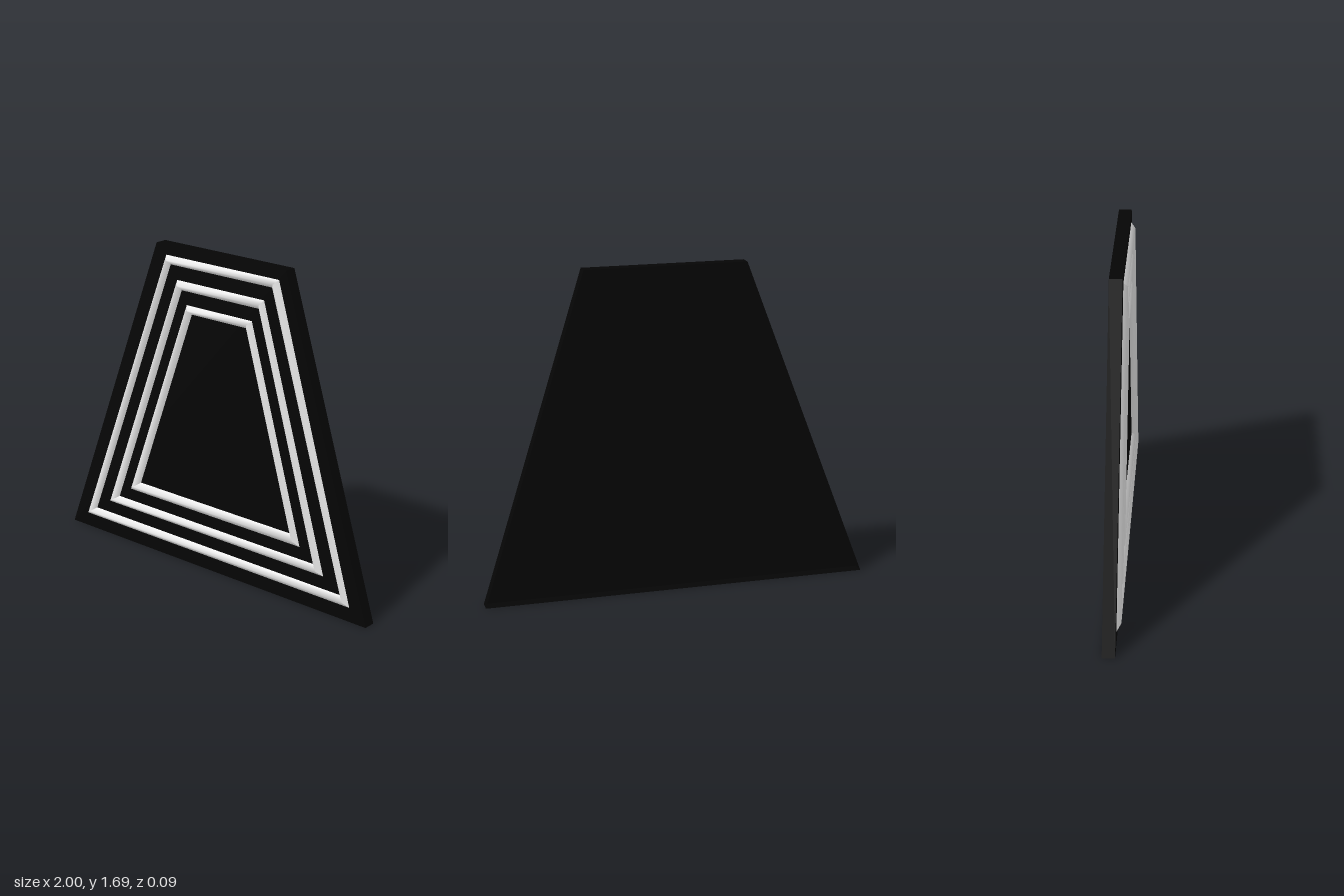
import * as THREE from 'three';

const FRONT = 0.021, BACK = -0.043, RIDGE = 0.043;

// Corners run counter-clockwise: bottom left, bottom right, top right, top left
const PANEL = [[-1, 0], [1, 0], [0.475, 1.687], [-0.352, 1.687]];
const RINGS = [
  { name: 'outerTrim',
    outer: [[-0.89, 0.075], [0.9, 0.075], [0.435, 1.635], [-0.287, 1.635]],
    inner: [[-0.818, 0.125], [0.84, 0.125], [0.393, 1.59], [-0.258, 1.59]] },
  { name: 'middleTrim',
    outer: [[-0.718, 0.192], [0.737, 0.192], [0.345, 1.518], [-0.215, 1.518]],
    inner: [[-0.645, 0.24], [0.672, 0.24], [0.312, 1.47], [-0.185, 1.47]] },
  { name: 'innerTrim',
    outer: [[-0.56, 0.305], [0.587, 0.305], [0.27, 1.4], [-0.152, 1.4]],
    inner: [[-0.485, 0.36], [0.522, 0.36], [0.233, 1.357], [-0.118, 1.357]] },
];

// Four mitred sides, each swept through the given loops of corners [x, y, z]
function frame(loops) {
  const positions = [], indices = [], n = loops.length;
  for (let i = 0; i < 4; i++) {
    const base = positions.length / 3;
    for (const k of [i, (i + 1) % 4]) {
      for (const loop of loops) positions.push(...loop[k]);
    }
    for (let a = base; a < base + n - 1; a++) {
      indices.push(a, a + n, a + n + 1, a, a + n + 1, a + 1);
    }
  }
  const geometry = new THREE.BufferGeometry();
  geometry.setAttribute('position', new THREE.Float32BufferAttribute(positions, 3));
  geometry.setIndex(indices);
  geometry.computeVertexNormals();
  return geometry;
}

const atDepth = (corners, z) => corners.map(([x, y]) => [x, y, z]);
const midway = (a, b) => a.map(([x, y], i) => [(x + b[i][0]) / 2, (y + b[i][1]) / 2]);

export function createModel() {
  const model = new THREE.Group();
  model.name = 'trapezoidPanel';
  const black = new THREE.MeshStandardMaterial({ color: 0x050505, side: THREE.DoubleSide });
  black.name = 'black';
  const white = new THREE.MeshStandardMaterial({ color: 0xf0f0f0 });
  white.name = 'white';

  const add = (name, geometry, material) => {
    const mesh = new THREE.Mesh(geometry, material);
    mesh.name = name;
    model.add(mesh);
  };

  // Front plate with a thin rim behind it, hollow at the back
  const shape = new THREE.Shape(PANEL.map(([x, y]) => new THREE.Vector2(x, y)));
  add('frontPlate', new THREE.ShapeGeometry(shape).translate(0, 0, FRONT), black);
  add('rim', frame([atDepth(PANEL, BACK), atDepth(PANEL, FRONT)]), black);

  // Three nested trims, each rising to a soft ridge
  for (const { name, outer, inner } of RINGS) {
    const ridge = midway(outer, inner);
    add(name, frame([atDepth(outer, FRONT), atDepth(ridge, RIDGE), atDepth(inner, FRONT)]), white);
  }
  return model;
}
